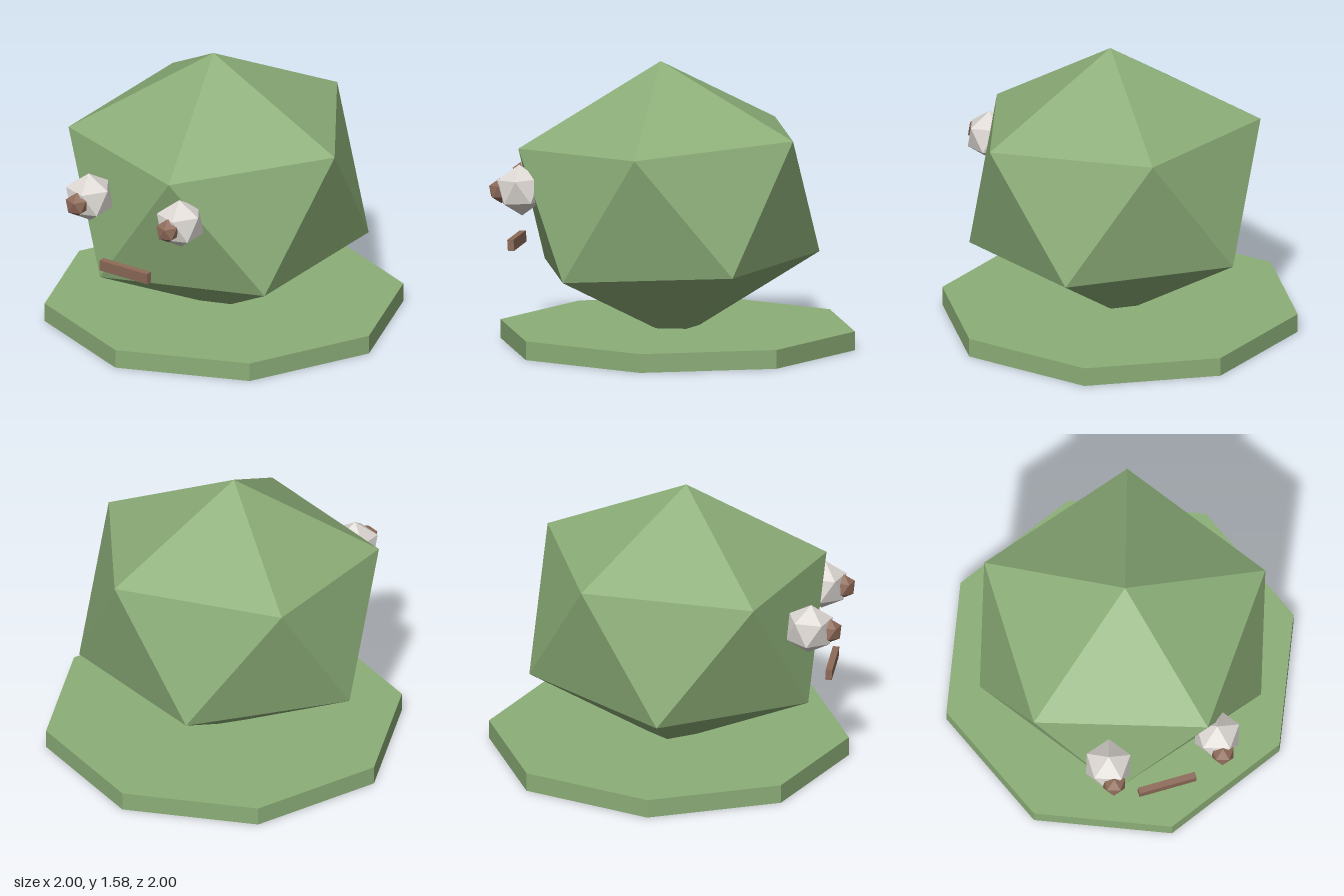
import * as THREE from 'three';

const flat = (name, color) => {
  const m = new THREE.MeshStandardMaterial({ color, flatShading: true });
  m.name = name;
  return m;
};

export function createModel() {
  const green = flat('leafGreen', 0x8cae78);
  const white = flat('eyeWhite', 0xdcd7d2);
  const brown = flat('brown', 0x8d6a58);
  const TILT = 0.06; // the whole head leans slightly forward

  const model = new THREE.Group();
  const add = (name, geometry, material, x, y, z, tilt = 0) => {
    const mesh = new THREE.Mesh(geometry, material);
    mesh.name = name;
    mesh.position.set(x, y, z);
    mesh.rotation.x = tilt;
    model.add(mesh);
  };

  // Twenty-sided ball turned so one corner points straight up
  const ball = (radius, squash = 1) =>
    new THREE.IcosahedronGeometry(radius, 0)
      .rotateZ(-Math.atan(2 / (1 + Math.sqrt(5))))
      .scale(1, squash, 1);

  // Octagonal base
  add('base', new THREE.CylinderGeometry(1, 1, 0.105, 8), green, 0, 0.0525, 0);

  // Squashed head, its lowest corner sunk into the base
  add('head', ball(0.913, 0.85), green, 0, 0.805, 0.05, TILT);

  // Eyes and pupils
  for (const [side, s] of [['left', 1], ['right', -1]]) {
    add(side + 'Eye', ball(0.142), white, s * 0.313, 0.884, 0.82, TILT);
    add(side + 'Pupil', ball(0.07), brown, s * 0.313, 0.877, 0.933, TILT);
  }

  // Mouth
  add('mouth', new THREE.BoxGeometry(0.328, 0.062, 0.036), brown, 0, 0.547, 0.908, TILT);

  return model;
}
